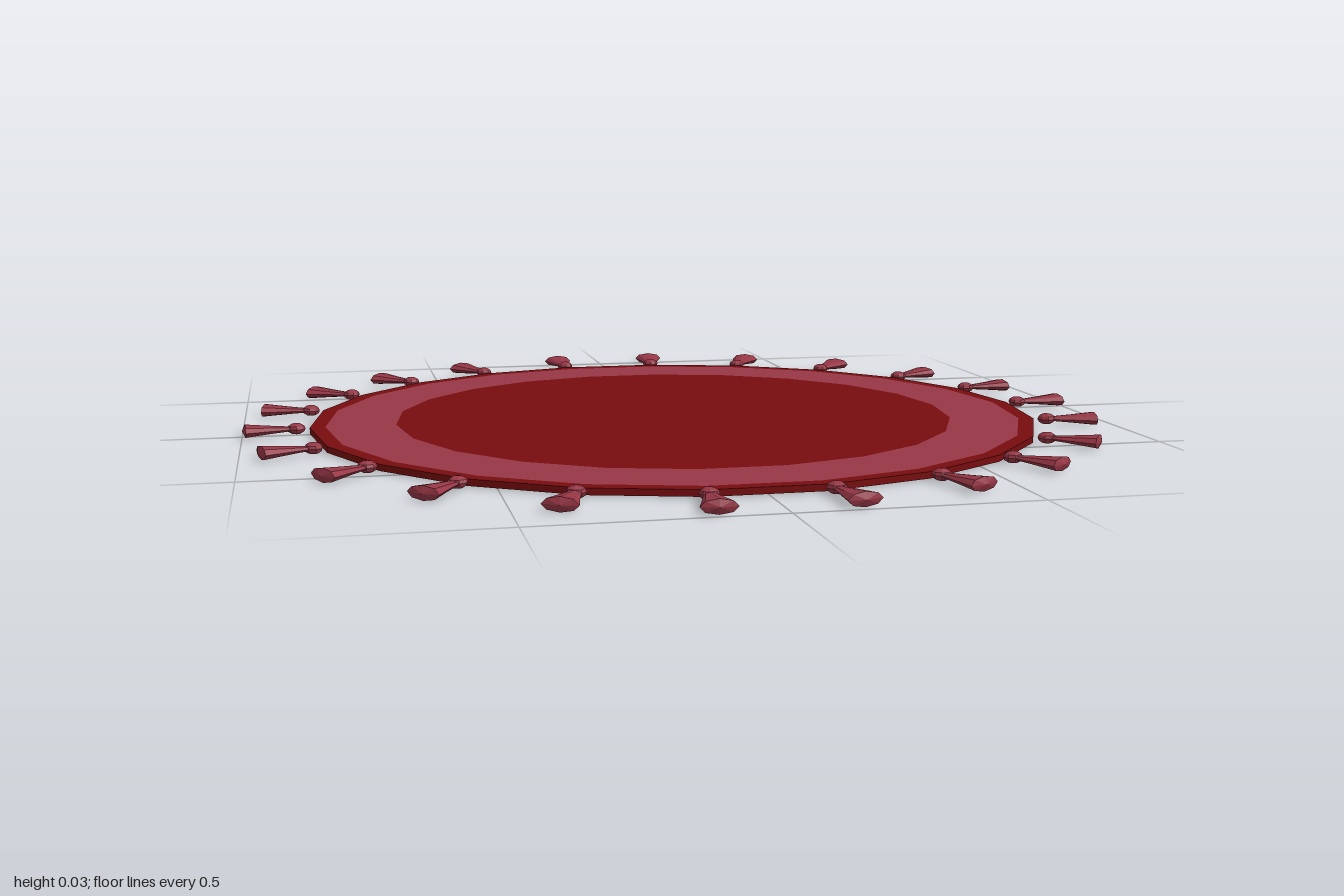
import * as THREE from 'three';

const SIDES = 22;

export function createModel() {
  const group = new THREE.Group();
  group.name = 'roundRug';

  const darkRed = new THREE.MeshStandardMaterial({ name: 'dark red', color: 0x780d0f, flatShading: true });
  const rose = new THREE.MeshStandardMaterial({ name: 'rose', color: 0x963645, flatShading: true });

  const add = (parent, name, geometry, material) => {
    const mesh = new THREE.Mesh(geometry, material);
    mesh.name = name;
    parent.add(mesh);
    return mesh;
  };

  // Flat ring with a rectangular section, corners on the x axis
  const ring = (inner, outer, bottom, top) => new THREE.LatheGeometry([
    new THREE.Vector2(inner, bottom), new THREE.Vector2(outer, bottom),
    new THREE.Vector2(outer, top), new THREE.Vector2(inner, top),
  ], SIDES, Math.PI / 2);

  // Woven body: centre, band and border
  add(group, 'centre', ring(0, 0.655, 0.002, 0.016), darkRed);
  add(group, 'band', ring(0.655, 0.815, 0.002, 0.016), rose);
  add(group, 'border', ring(0.815, 0.85, 0.002, 0.016), darkRed);

  // Tassel parts, pointing along +x and flattened in y
  const knot = new THREE.SphereGeometry(0.021, 8, 6).scale(1, 0.62, 1);
  const fringe = new THREE.LatheGeometry([
    new THREE.Vector2(0, 0), new THREE.Vector2(0.012, 0), new THREE.Vector2(0.024, 0.055),
    new THREE.Vector2(0.037, 0.107), new THREE.Vector2(0, 0.114),
  ], 8).rotateZ(-Math.PI / 2).scale(1, 0.41, 1);

  // Small turn of each tassel away from the radius, in degrees
  const turns = [5, -7, -3, 0, -3, 0, -6, 5, 4, 0, 3, 4, 0, 5, 1, 0, 4, 2, 0, -4, -4, 6];
  turns.forEach((turn, i) => {
    const angle = (i / SIDES) * Math.PI * 2;
    const tassel = new THREE.Group();
    tassel.name = 'tassel';
    tassel.position.set(0.88 * Math.cos(angle), 0.0155, -0.88 * Math.sin(angle));
    tassel.rotation.y = angle + THREE.MathUtils.degToRad(turn);
    add(tassel, 'knot', knot, rose);
    add(tassel, 'fringe', fringe, rose).position.x = 0.006;
    group.add(tassel);
  });

  return group;
}
